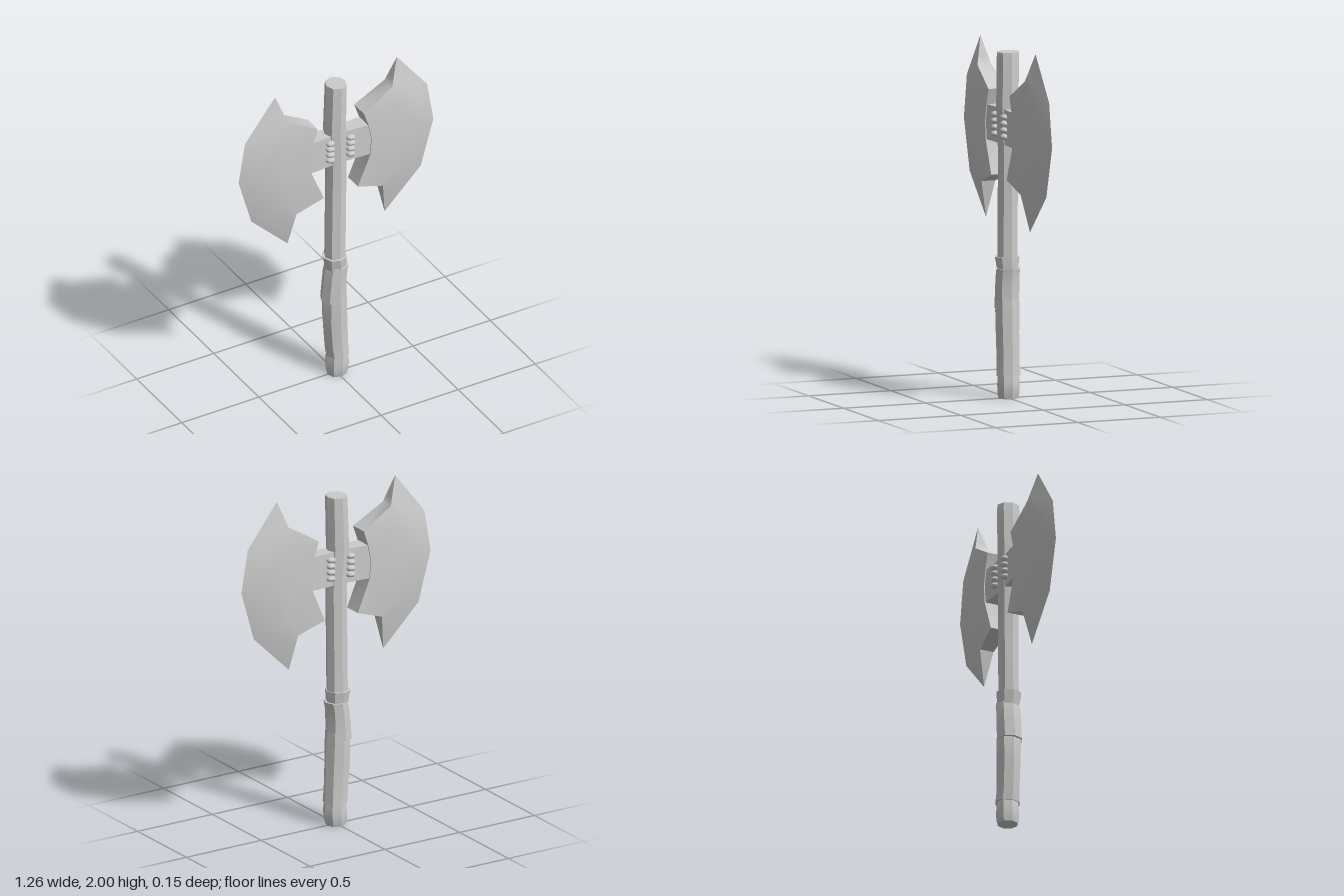
import * as THREE from 'three';
import { toCreasedNormals } from 'three/addons/utils/BufferGeometryUtils.js';

const material = new THREE.MeshStandardMaterial({ color: 0xcccccc, side: THREE.DoubleSide });

function addMesh(parent, name, geometry, crease = 0.7) {
  const mesh = new THREE.Mesh(toCreasedNormals(geometry, crease), material);
  mesh.name = name;
  parent.add(mesh);
  return mesh;
}

// Collects quads into a geometry; mirrored parts reverse the corner order.
function quadBuilder(mirrored) {
  const pos = [];
  return {
    quad(a, b, c, d) {
      const [p, q, r, s] = mirrored ? [a, d, c, b] : [a, b, c, d];
      pos.push(...p, ...q, ...r, ...p, ...r, ...s);
    },
    build() {
      const g = new THREE.BufferGeometry();
      g.setAttribute('position', new THREE.Float32BufferAttribute(pos, 3));
      g.computeVertexNormals();
      return g;
    },
  };
}

// Closed pole through rings of [y, left x, right x, half depth], bottom to top.
function pole(rings, sides = 8) {
  const b = quadBuilder(false);
  const loops = rings.map(([y, x0, x1, rz]) => Array.from({ length: sides }, (_, i) => {
    const a = (i / sides) * Math.PI * 2;
    return [(x0 + x1) / 2 + Math.cos(a) * (x1 - x0) / 2, y, -Math.sin(a) * rz];
  }));
  const centre = (r) => [(r[1] + r[2]) / 2, r[0], 0];
  const bottom = centre(rings[0]), top = centre(rings[rings.length - 1]);
  const last = loops[loops.length - 1];
  for (let i = 0; i < sides; i++) {
    const j = (i + 1) % sides;
    for (let k = 0; k + 1 < loops.length; k++) {
      b.quad(loops[k][i], loops[k][j], loops[k + 1][j], loops[k + 1][i]);
    }
    b.quad(bottom, loops[0][j], loops[0][i], bottom);
    b.quad(top, last[i], last[j], top);
  }
  return b.build();
}

// Blade rows from top to bottom, each from the inner wall to the cutting edge: [x, y, half depth].
const bladeRows = [
  [[0.15, 1.73, 0.055], [0.34, 1.84, 0.042], [0.355, 1.885, 0.03], [0.395, 2.0, 0]],
  [[0.18, 1.64, 0.055], [0.37, 1.72, 0.055], [0.49, 1.71, 0.042], [0.59, 1.75, 0]],
  [[0.20, 1.54, 0.055], [0.38, 1.51, 0.056], [0.52, 1.5, 0.042], [0.632, 1.5, 0]],
  [[0.19, 1.44, 0.055], [0.34, 1.29, 0.055], [0.45, 1.26, 0.042], [0.55, 1.21, 0]],
  [[0.11, 1.25, 0.055], [0.28, 1.19, 0.042], [0.29, 1.13, 0.03], [0.315, 0.98, 0]],
];

function blade(side) {
  const b = quadBuilder(side < 0);
  const at = (i, j, s) => {
    const [x, y, z] = bladeRows[i][j];
    return [x * side, y, z * s];
  };
  const rows = bladeRows.length - 1;
  for (let j = 0; j < 3; j++) {
    for (let i = 0; i < rows; i++) {
      b.quad(at(i, j, 1), at(i + 1, j, 1), at(i + 1, j + 1, 1), at(i, j + 1, 1));
      b.quad(at(i, j, -1), at(i, j + 1, -1), at(i + 1, j + 1, -1), at(i + 1, j, -1));
    }
    // Walls along the top and bottom edges
    b.quad(at(0, j, -1), at(0, j, 1), at(0, j + 1, 1), at(0, j + 1, -1));
    b.quad(at(rows, j, 1), at(rows, j, -1), at(rows, j + 1, -1), at(rows, j + 1, 1));
  }
  // Wall facing the shaft
  for (let i = 0; i < rows; i++) {
    b.quad(at(i, 0, -1), at(i + 1, 0, -1), at(i + 1, 0, 1), at(i, 0, 1));
  }
  return b.build();
}

export function createModel() {
  const model = new THREE.Group();
  model.name = 'doubleAxe';

  addMesh(model, 'shaft', pole([
    [0.1, -0.055, 0.06, 0.058], [0.8, -0.07, 0.055, 0.06], [1.1, -0.066, 0.058, 0.06],
    [1.4, -0.063, 0.062, 0.06], [1.65, -0.075, 0.055, 0.068], [1.93, -0.064, 0.06, 0.068],
    [1.96, -0.062, 0.058, 0.066],
  ]));

  // Handle wrapping, in overlapping layers
  addMesh(model, 'pommel', pole([
    [0, -0.056, 0.062, 0.058], [0.03, -0.06, 0.07, 0.067],
    [0.08, -0.062, 0.076, 0.068], [0.135, -0.054, 0.068, 0.064],
  ]));
  addMesh(model, 'lowerGrip', pole([
    [0.13, -0.06, 0.075, 0.074], [0.2, -0.069, 0.072, 0.068], [0.38, -0.082, 0.066, 0.07],
    [0.5, -0.08, 0.062, 0.074], [0.56, -0.07, 0.058, 0.07],
  ]));
  addMesh(model, 'upperGrip', pole([
    [0.51, -0.094, 0.058, 0.074], [0.6, -0.084, 0.058, 0.074],
    [0.68, -0.076, 0.06, 0.073], [0.735, -0.064, 0.07, 0.072],
  ]));
  addMesh(model, 'gripCollar', pole([
    [0.72, -0.068, 0.056, 0.062], [0.755, -0.074, 0.058, 0.068], [0.8, -0.082, 0.06, 0.075],
  ]));

  for (const side of [1, -1]) {
    const head = new THREE.Group();
    head.name = side > 0 ? 'leftHead' : 'rightHead';
    model.add(head);
    addMesh(head, 'blade', blade(side), 0.8);

    // Neck, thinner where it meets the shaft
    const neck = new THREE.BoxGeometry(0.17, 0.2, 0.1);
    const p = neck.attributes.position;
    for (let i = 0; i < p.count; i++) if (p.getX(i) * side < 0) p.setZ(i, p.getZ(i) * 0.8);
    neck.translate(0.125 * side, 1.54, 0);
    addMesh(head, 'neck', neck);

    // Pointed lashings on the front and back of the joint
    for (const z of [0.05, -0.05]) {
      for (let i = 0; i < 4; i++) {
        const spike = new THREE.SphereGeometry(1, 6, 4);
        spike.scale(0.03, 0.017, 0.026);
        spike.translate(0.066 * side, 1.49 + i * 0.037, z);
        addMesh(head, 'lashing', spike, 1.2);
      }
    }
  }
  return model;
}
